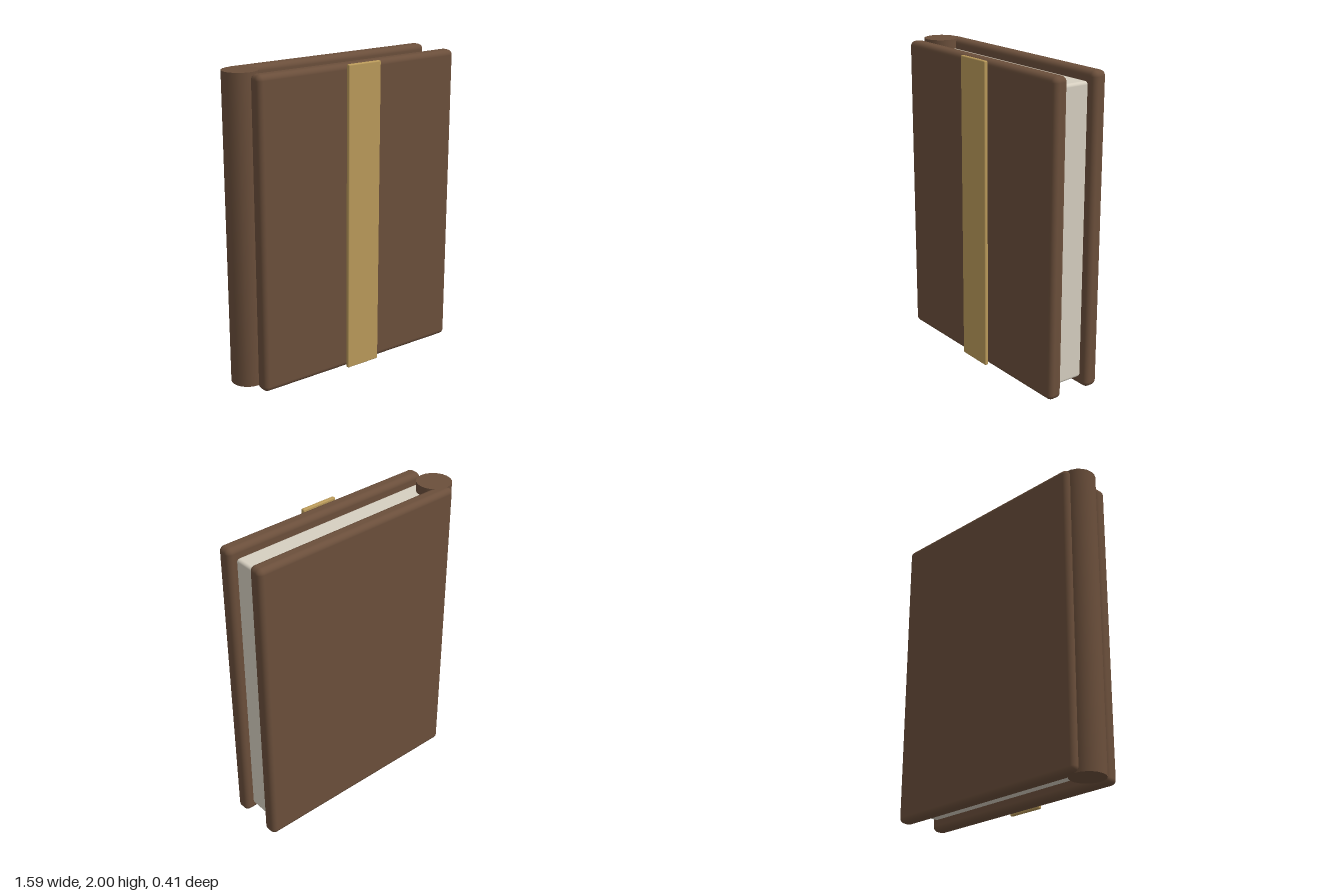
import * as THREE from 'three';
import { RoundedBoxGeometry } from 'three/addons/geometries/RoundedBoxGeometry.js';

function material(name, color) {
  const m = new THREE.MeshStandardMaterial({ color });
  m.name = name;
  return m;
}

export function createModel() {
  const book = new THREE.Group();
  book.name = 'book';
  const leather = material('brown leather', 0x6b4f3b);
  const paper = material('cream paper', 0xd6cfc0);
  const gold = material('gold strap', 0xba9a5a);

  // Rounded slab given by its lower and upper corners
  function slab(name, mat, min, max, radius) {
    const size = max.map((v, i) => v - min[i]);
    const mesh = new THREE.Mesh(new RoundedBoxGeometry(...size, 4, radius), mat);
    mesh.position.set(...max.map((v, i) => (v + min[i]) / 2));
    mesh.name = name;
    book.add(mesh);
  }

  // Covers, page block and front strap
  slab('frontCover', leather, [-0.71, 0, 0.081], [0.79, 2, 0.18], 0.035);
  slab('backCover', leather, [-0.71, 0, -0.206], [0.79, 2, -0.107], 0.035);
  slab('pages', paper, [-0.66, 0.065, -0.112], [0.74, 1.938, 0.081], 0.02);
  slab('strap', gold, [-0.082, 0, 0.18], [0.165, 2, 0.206], 0.008);

  // Round spine
  const spine = new THREE.Mesh(new THREE.CylinderGeometry(0.112, 0.112, 2, 20), leather);
  spine.position.set(-0.683, 1, -0.057);
  spine.name = 'spine';
  book.add(spine);

  return book;
}
